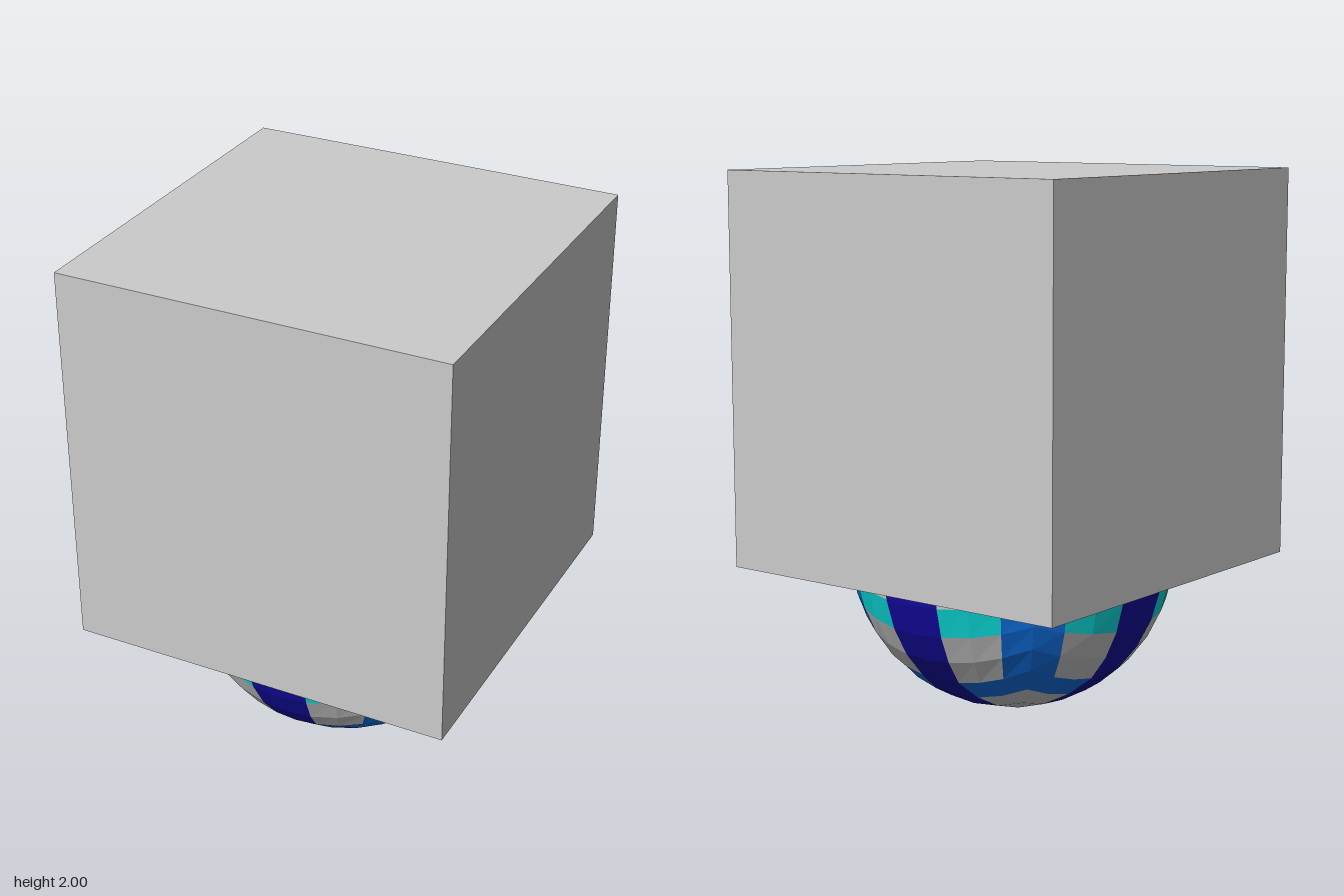
import * as THREE from 'three';

const BOX = 1.451;      // edge of the cube body
const RADIUS = 0.607;   // ball radius, also its centre height
const HALF = 4;         // ball cells from the middle of a patch to its edge

const COLORS = { plain: 0xcccccc, navy: 0x120aa0, blue: 0x0f6fe2, cyan: 0x0cdcdc };

// Stripe of a cell, from its distance to the patch middle (0..3) across and up
function stripeOf(a, b, isCap) {
  if (a === 0 || (isCap && b === 0)) return 'navy';
  if (a === HALF - 1 || (isCap && b === HALF - 1)) return 'blue';
  if (!isCap && b === 1) return 'cyan';
  return 'plain';
}

// Six cube patches pushed out to a sphere with equal angular steps
function createBall() {
  const ball = new THREE.Group();
  ball.name = 'stripedBall';
  const corners = { plain: [], navy: [], blue: [], cyan: [] };
  const V = (x, y, z) => new THREE.Vector3(x, y, z);
  const patches = [
    [V(0, 0, 1), V(1, 0, 0)], [V(1, 0, 0), V(0, 0, -1)],
    [V(0, 0, -1), V(-1, 0, 0)], [V(-1, 0, 0), V(0, 0, 1)],
    [V(0, -1, 0), V(1, 0, 0)], [V(0, 1, 0), V(1, 0, 0)],
  ];
  for (const [out, across] of patches) {
    const up = out.clone().cross(across);
    const isCap = out.y !== 0;
    const point = (i, j) => out.clone()
      .addScaledVector(across, Math.tan((i / HALF) * Math.PI / 4))
      .addScaledVector(up, Math.tan((j / HALF) * Math.PI / 4))
      .setLength(RADIUS);
    for (let i = -HALF; i < HALF; i++) {
      for (let j = -HALF; j < HALF; j++) {
        const a = Math.floor(Math.abs(i + 0.5));
        const b = Math.floor(Math.abs(j + 0.5));
        const p = point(i, j), q = point(i + 1, j);
        const r = point(i + 1, j + 1), s = point(i, j + 1);
        corners[stripeOf(a, b, isCap)].push(p, q, r, p, r, s);
      }
    }
  }
  for (const [name, points] of Object.entries(corners)) {
    const geometry = new THREE.BufferGeometry().setFromPoints(points);
    geometry.computeVertexNormals();
    const mesh = new THREE.Mesh(geometry,
      new THREE.MeshStandardMaterial({ color: COLORS[name], flatShading: true }));
    mesh.name = name + 'Panels';
    ball.add(mesh);
  }
  ball.position.y = RADIUS;
  return ball;
}

export function createModel() {
  const model = new THREE.Group();
  model.name = 'cubeOnBall';

  // Plain cube enclosing the upper part of the ball
  const body = new THREE.Mesh(
    new THREE.BoxGeometry(BOX, BOX, BOX),
    new THREE.MeshStandardMaterial({ color: 0xcccccc, flatShading: true }));
  body.name = 'cubeBody';
  body.position.y = 2 - BOX / 2;

  model.add(body, createBall());
  return model;
}
